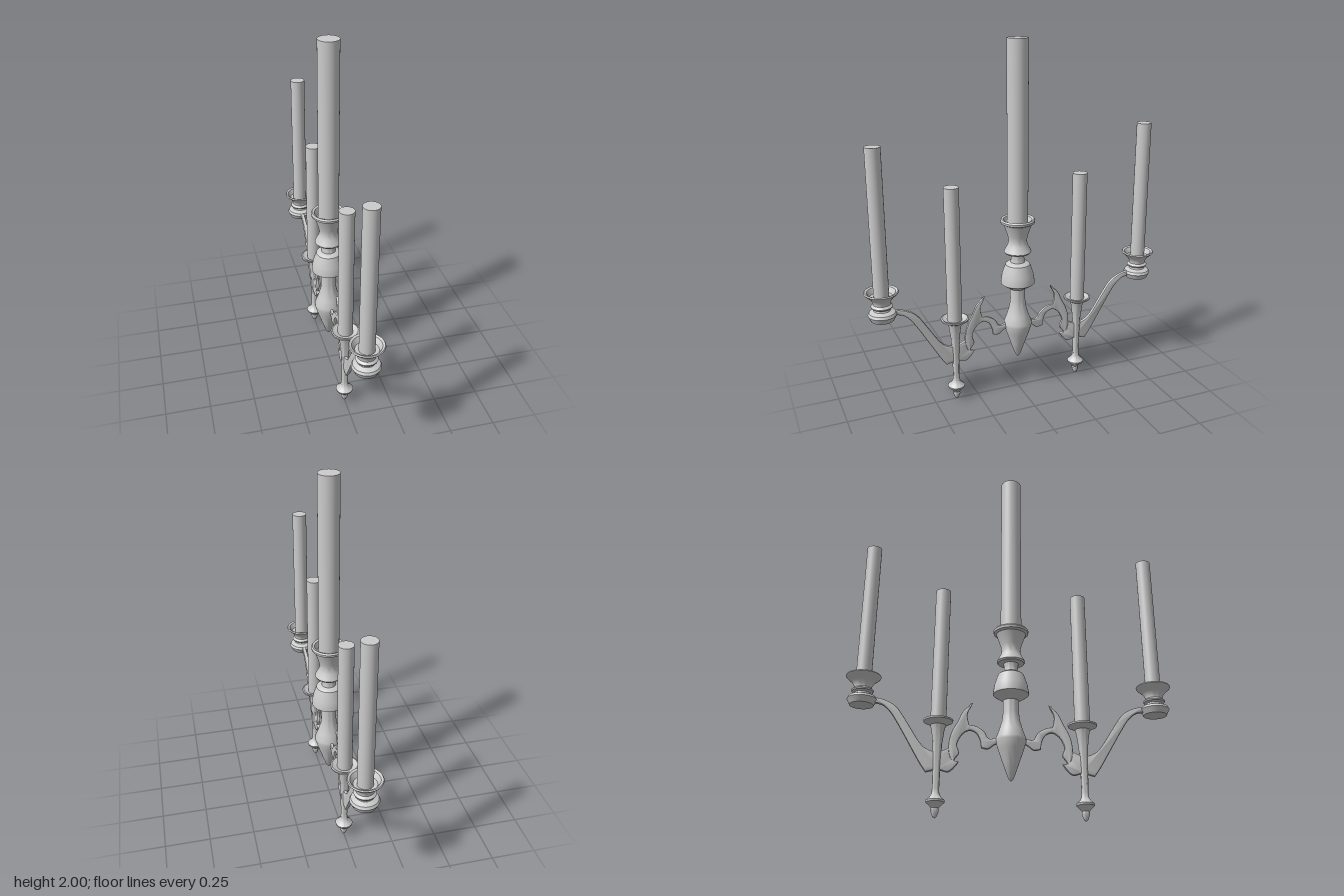
import * as THREE from 'three';
import { toCreasedNormals } from 'three/addons/utils/BufferGeometryUtils.js';

const material = new THREE.MeshStandardMaterial({ color: 0xcccccc, side: THREE.DoubleSide });
const points = (list) => list.map(([a, b]) => new THREE.Vector2(a, b));

// Turned part from [radius, height] pairs, bottom to top
function turned(name, profile, z = 0) {
  const geometry = toCreasedNormals(new THREE.LatheGeometry(points(profile), 32), 0.6);
  const mesh = new THREE.Mesh(geometry, material);
  mesh.name = name;
  mesh.position.z = z;
  return mesh;
}

function candle(name, radius, bottom, top, z = 0) {
  const mesh = new THREE.Mesh(new THREE.CylinderGeometry(radius, radius, top - bottom, 32), material);
  mesh.name = name;
  mesh.position.set(0, (bottom + top) / 2, z);
  return mesh;
}

// Flat ironwork cut from a (z, y) outline, with softened edges
function ironwork(name, outline, depth, bevel) {
  const geometry = new THREE.ExtrudeGeometry(new THREE.Shape(points(outline)), {
    depth, bevelEnabled: true, bevelThickness: bevel, bevelSize: 0.008, bevelOffset: -0.008, bevelSegments: 2,
  });
  geometry.translate(0, 0, -depth / 2);
  geometry.rotateY(-Math.PI / 2);
  const mesh = new THREE.Mesh(toCreasedNormals(geometry, 0.7), material);
  mesh.name = name;
  return mesh;
}

// Joins corner runs into smooth curves; every run ends in a sharp corner
function smoothOutline(runs) {
  return runs.flatMap((run) => {
    const curve = new THREE.SplineCurve(points(run));
    return curve.getPoints(run.length * 3).slice(0, -1).map((p) => [p.x, p.y]);
  });
}

const columnProfile = [
  [0, 0.195], [0.014, 0.21], [0.042, 0.29], [0.066, 0.36], [0.079, 0.405], [0.079, 0.42],
  [0.062, 0.465], [0.046, 0.52], [0.042, 0.56], [0.042, 0.625], [0.07, 0.643], [0.095, 0.66],
  [0.095, 0.672], [0.088, 0.715], [0.069, 0.772], [0.055, 0.782], [0.04, 0.785], [0.036, 0.81],
  [0.04, 0.835], [0.07, 0.838], [0.076, 0.847], [0.07, 0.86], [0.056, 0.885], [0.05, 0.91],
  [0.056, 0.94], [0.071, 0.985], [0.08, 1.008], [0.094, 1.015], [0.096, 1.028], [0.09, 1.037],
  [0.078, 1.032], [0.066, 1.0], [0.05, 0.99],
];

const outerCupProfile = [
  [0, 0.573], [0.062, 0.573], [0.07, 0.59], [0.077, 0.604], [0.07, 0.618], [0.045, 0.629],
  [0.042, 0.638], [0.055, 0.645], [0.058, 0.653], [0.046, 0.664], [0.047, 0.677], [0.06, 0.699],
  [0.086, 0.722], [0.092, 0.73], [0.088, 0.737], [0.076, 0.732], [0.06, 0.705], [0, 0.7],
];

const innerCupProfile = [
  [0, 0.005], [0.01, 0.012], [0.02, 0.038], [0.019, 0.054], [0.028, 0.066], [0.046, 0.082],
  [0.048, 0.092], [0.03, 0.108], [0.02, 0.125], [0.018, 0.15], [0.02, 0.28], [0.024, 0.38],
  [0.033, 0.45], [0.04, 0.478], [0.058, 0.489], [0.076, 0.498], [0.077, 0.507], [0.07, 0.509],
  [0.055, 0.498], [0, 0.496],
];

// Long arm carrying the outer cup
const armOutline = smoothOutline([
  [[0.765, 0.60], [0.705, 0.617], [0.64, 0.60], [0.588, 0.565], [0.535, 0.49], [0.47, 0.39], [0.43, 0.353], [0.375, 0.338], [0.318, 0.36]],
  [[0.318, 0.36], [0.312, 0.325], [0.30, 0.30], [0.265, 0.29]],
  [[0.265, 0.29], [0.285, 0.262], [0.318, 0.235], [0.37, 0.245], [0.43, 0.232]],
  [[0.43, 0.232], [0.466, 0.283], [0.535, 0.40], [0.588, 0.488], [0.63, 0.548], [0.68, 0.583], [0.765, 0.585]],
  [[0.765, 0.585], [0.765, 0.60]],
]);

// Scroll with a leaf tip, joining the arm to the column
const scrollOutline = smoothOutline([
  [[0.296, 0.275], [0.317, 0.33], [0.32, 0.385], [0.306, 0.445], [0.275, 0.506], [0.248, 0.562], [0.20, 0.607]],
  [[0.20, 0.607], [0.226, 0.545], [0.217, 0.487]],
  [[0.217, 0.487], [0.18, 0.48], [0.138, 0.453], [0.117, 0.418], [0.085, 0.42], [0.03, 0.45]],
  [[0.03, 0.45], [0.03, 0.39]],
  [[0.03, 0.39], [0.08, 0.386], [0.117, 0.36], [0.154, 0.366]],
  [[0.154, 0.366], [0.16, 0.405], [0.18, 0.442], [0.217, 0.455], [0.254, 0.43], [0.277, 0.38], [0.265, 0.336], [0.285, 0.305], [0.296, 0.275]],
]);

// One side of the candelabrum, facing +z
function branch(name) {
  const group = new THREE.Group();
  group.name = name;
  group.add(
    ironwork('arm', armOutline, 0.008, 0.007),
    ironwork('scroll', scrollOutline, 0.006, 0.006),
    turned('innerCup', innerCupProfile, 0.376),
    candle('innerCandle', 0.041, 0.49, 1.255, 0.376),
    turned('outerCup', outerCupProfile, 0.773),
    candle('outerCandle', 0.041, 0.69, 1.505, 0.773),
  );
  return group;
}

export function createModel() {
  const model = new THREE.Group();
  model.name = 'candelabrum';
  model.add(turned('column', columnProfile), candle('centreCandle', 0.057, 0.98, 2));
  const front = branch('frontBranch');
  const back = branch('backBranch');
  back.rotation.y = Math.PI;
  model.add(front, back);
  return model;
}
